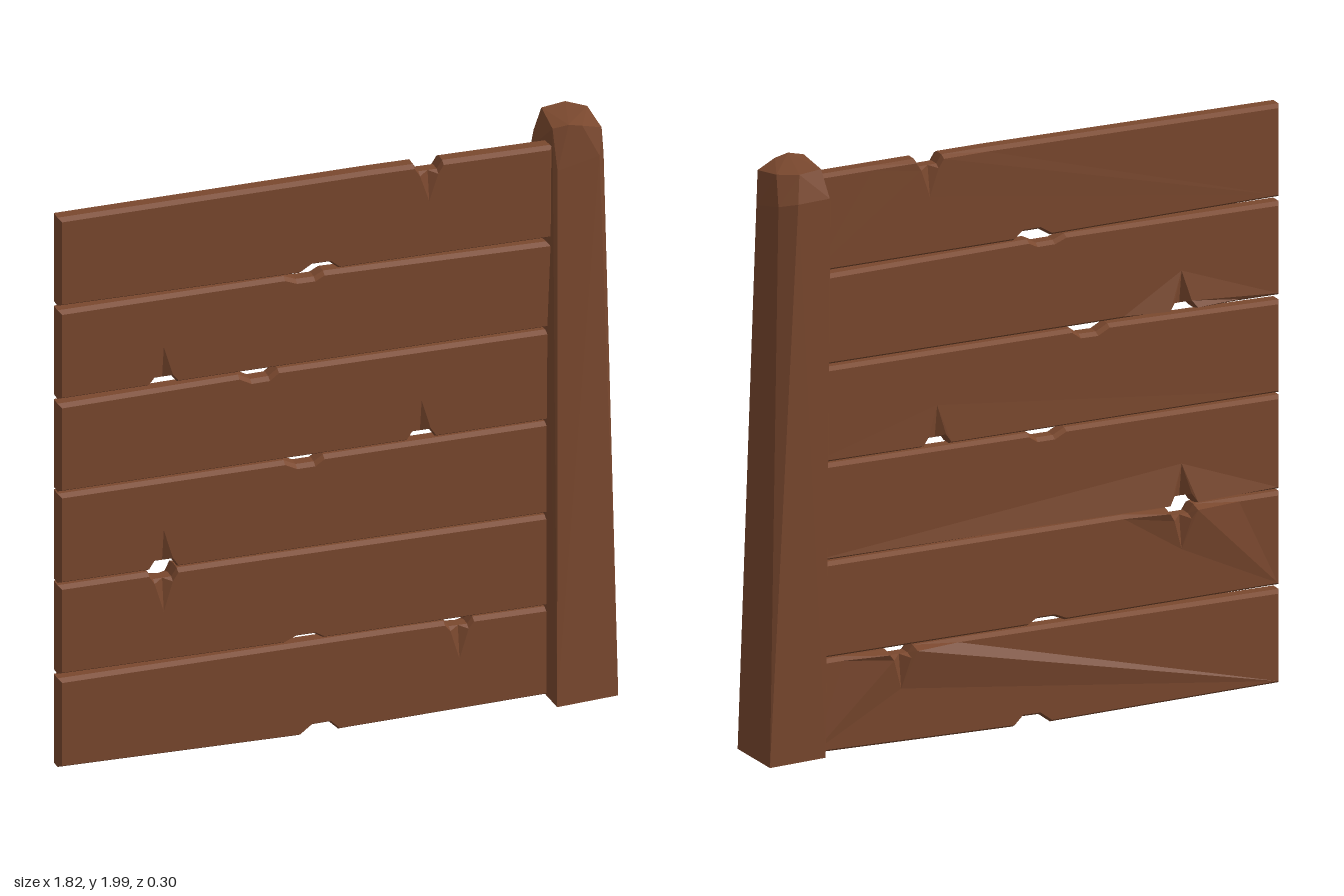
import * as THREE from 'three';
import { ConvexGeometry } from 'three/addons/geometries/ConvexGeometry.js';

const wood = new THREE.MeshStandardMaterial({ color: 0x7a482e });
wood.name = 'brown wood';

const LEFT = -0.91, RIGHT = 0.72;
const BEVEL = 0.01;

// One edge of a plank, left to right. dir = +1 for the bottom edge, -1 for the top.
function edgePoints(edge, dir) {
  const [y0, yMid, y1] = edge.y;
  const yAt = x => x < -0.1
    ? THREE.MathUtils.mapLinear(x, LEFT, -0.1, y0, yMid)
    : THREE.MathUtils.mapLinear(x, -0.1, RIGHT, yMid, y1);
  const add = (x, depth = 0, extra = {}) => ({ x, y: yAt(x) + dir * depth, dir, ...extra });
  const pts = [add(LEFT, 0, { end: 1 })];
  const { x, depth, crack, lift = 0 } = edge.notch;
  if (crack) {
    // short notch with a split running into the board
    pts.push(add(x - 0.2), add(x - 0.048, 0, { lift }),
      add(x - 0.03, depth, { lift: lift * 0.6, crack: dir > 0 ? crack : 0 }),
      add(x + 0.03, depth, { lift: lift * 0.6, crack: dir < 0 ? crack : 0 }),
      add(x + 0.048, 0, { lift }), add(x + 0.2));
  } else {
    pts.push(add(x - 0.065), add(x - 0.025, depth), add(x + 0.035, depth), add(x + 0.065));
  }
  pts.push(add(RIGHT, 0, { end: -1 }));
  return pts;
}

// Board with bevelled rims, notched edges and V-shaped splits on both faces
function plankGeometry(bottom, top) {
  const outline = [...edgePoints(bottom, 1), ...edgePoints(top, -1).reverse()];
  const n = outline.length, pos = [];
  const tri = (a, b, c, flip) => {
    for (const p of flip ? [a, c, b] : [a, b, c]) pos.push(p.x, p.y, p.z);
  };
  const rimFront = outline.map(p => new THREE.Vector3(p.x, p.y, 0.038));
  const rimBack = outline.map(p => new THREE.Vector3(p.x, p.y, 0.002));

  // edge wall
  for (let i = 0; i < n; i++) {
    const j = (i + 1) % n;
    tri(rimBack[i], rimBack[j], rimFront[j]);
    tri(rimBack[i], rimFront[j], rimFront[i]);
  }

  // front and back faces with their bevels
  for (const back of [false, true]) {
    const rim = back ? rimBack : rimFront;
    const z = back ? -0.015 : 0.055;
    const face = outline.map(p => new THREE.Vector3(
      p.x + (p.end || 0) * BEVEL, p.y + p.dir * BEVEL, back ? z - (p.lift || 0) : z));
    const contour = [];
    for (let i = 0; i < n; i++) {
      const j = (i + 1) % n, p = outline[i];
      contour.push(face[i]);
      if (p.crack) {
        const floor = rim[i].clone().lerp(rim[j], 0.5);
        const apex = new THREE.Vector3(floor.x, p.y + p.dir * p.crack, z);
        contour.push(apex);
        tri(face[i], floor, apex, back);
        tri(floor, face[j], apex, back);
        tri(rim[i], floor, face[i], back);
        tri(floor, rim[j], face[j], back);
      } else {
        tri(rim[i], rim[j], face[j], back);
        tri(rim[i], face[j], face[i], back);
      }
    }
    for (const [a, b, c] of THREE.ShapeUtils.triangulateShape(contour, [])) {
      tri(contour[a], contour[b], contour[c], back);
    }
  }
  const g = new THREE.BufferGeometry();
  g.setAttribute('position', new THREE.Float32BufferAttribute(pos, 3));
  g.computeVertexNormals();
  return g;
}

// Edge heights are given at the left end, the middle and the right end
const PLANKS = [
  { bottom: { y: [0.02, 0.008, 0.026], notch: { x: -0.05, depth: 0.03 } },
    top: { y: [0.328, 0.334, 0.33], notch: { x: 0.41, depth: 0.022, crack: 0.11, lift: 0.02 } } },
  { bottom: { y: [0.344, 0.337, 0.335], notch: { x: -0.1, depth: 0.018 } },
    top: { y: [0.652, 0.654, 0.65], notch: { x: -0.565, depth: 0.028, crack: 0.11, lift: 0.02 } } },
  { bottom: { y: [0.66, 0.658, 0.656], notch: { x: -0.565, depth: 0.028, crack: 0.11, lift: 0.02 } },
    top: { y: [0.97, 0.972, 0.975], notch: { x: -0.1, depth: 0.02 } } },
  { bottom: { y: [0.978, 0.978, 0.98], notch: { x: 0.285, depth: 0.027, crack: 0.11, lift: 0.004 } },
    top: { y: [1.283, 1.296, 1.293], notch: { x: -0.25, depth: 0.022 } } },
  { bottom: { y: [1.3, 1.303, 1.302], notch: { x: -0.565, depth: 0.023, crack: 0.11, lift: 0.02 } },
    top: { y: [1.608, 1.612, 1.598], notch: { x: -0.1, depth: 0.016 } } },
  { bottom: { y: [1.624, 1.615, 1.612], notch: { x: -0.05, depth: 0.025 } },
    top: { y: [1.93, 1.938, 1.932], notch: { x: 0.31, depth: 0.028, crack: 0.1, lift: 0.002 } } },
];

// Leaning, roughly hewn post: square foot, chamfered upper corners, worn top
function postGeometry() {
  const points = [
    [0.7, 0.03, 0.15], [0.908, 0.03, 0.13], [0.893, 0.025, -0.07], [0.692, 0.025, -0.055],
    [0.73, 1.85, 0.064], [0.7, 1.8, 0.02], [0.87, 1.88, 0.06], [0.9, 1.86, 0.01],
    [0.888, 1.89, -0.12], [0.835, 1.9, -0.153], [0.72, 1.9, -0.142], [0.69, 1.87, -0.085],
    [0.72, 1.99, 0.045], [0.77, 2, 0.054], [0.815, 1.99, 0.054], [0.885, 1.965, 0.035],
    [0.878, 1.985, -0.085], [0.82, 1.99, -0.13], [0.735, 1.99, -0.11],
  ];
  return new ConvexGeometry(points.map(p => new THREE.Vector3(...p)));
}

export function createModel() {
  const model = new THREE.Group();
  model.name = 'woodenFence';

  const planks = new THREE.Group();
  planks.name = 'planks';
  PLANKS.forEach(({ bottom, top }, i) => {
    const plank = new THREE.Mesh(plankGeometry(bottom, top), wood);
    plank.name = `plank${i + 1}`;
    planks.add(plank);
  });

  const post = new THREE.Mesh(postGeometry(), wood);
  post.name = 'post';

  model.add(planks, post);
  return model;
}
